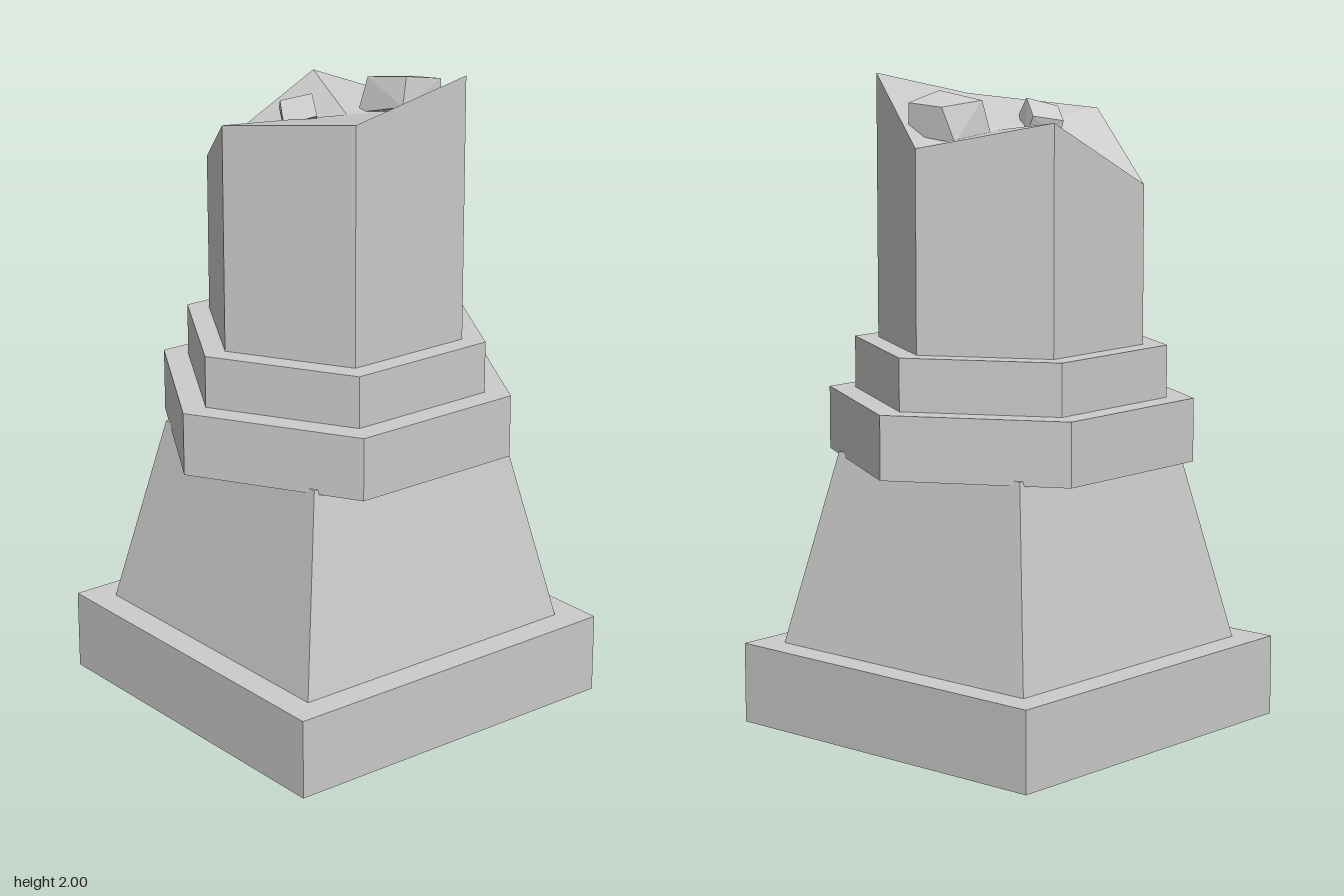
import * as THREE from 'three';
import { ConvexGeometry } from 'three/addons/geometries/ConvexGeometry.js';

const stone = new THREE.MeshStandardMaterial({ color: 0xcccccc, flatShading: true });

export function createModel() {
  const model = new THREE.Group();
  const add = (name, geometry, y = 0) => {
    const mesh = new THREE.Mesh(geometry, stone);
    mesh.name = name;
    mesh.position.y = y;
    model.add(mesh);
    return mesh;
  };

  // Square plinth and tapered pedestal
  add('plinth', new THREE.BoxGeometry(1.16, 0.25, 1.16), 0.125);
  const pedestal = new THREE.CylinderGeometry(0.37 * Math.SQRT2, 0.493 * Math.SQRT2, 0.6, 4);
  add('pedestal', pedestal.rotateY(Math.PI / 4), 0.55);

  // Stepped hexagonal collars
  add('lowerCollar', new THREE.CylinderGeometry(0.57, 0.57, 0.195, 6), 0.9325);
  add('upperCollar', new THREE.CylinderGeometry(0.487, 0.487, 0.16, 6), 1.11);

  // Hexagonal shaft with a broken, uneven top
  add('brokenShaft', shaftGeometry(0.413, 1.18, [1.88, 1.92, 2.0, 1.8, 1.88, 1.675]));

  // Loose rubble: four upper corners, then four lower corners
  add('largeRubble', rubble([
    [0, 1.915, -0.3], [0.11, 1.925, -0.325], [0.12, 1.955, -0.18], [-0.03, 1.93, -0.155],
    [-0.035, 1.81, -0.28], [0.12, 1.83, -0.315], [0.14, 1.87, -0.15], [-0.045, 1.82, -0.13],
  ]));
  add('smallRubble', rubble([
    [-0.12, 1.86, 0.112], [-0.065, 1.875, 0.035], [0.01, 1.925, 0.09], [-0.06, 1.9, 0.155],
    [-0.035, 1.81, 0.035], [0.06, 1.87, 0.11], [-0.01, 1.84, 0.18], [-0.1, 1.79, 0.11],
  ]));

  return model;
}

// Convex stone chunk spanning its corner points
function rubble(corners) {
  return new ConvexGeometry(corners.map((c) => new THREE.Vector3(...c)));
}

// Six-sided prism whose top corners have individual heights
function shaftGeometry(radius, bottom, heights) {
  const corner = (i, y) => {
    const a = (i * Math.PI) / 3;
    return new THREE.Vector3(radius * Math.sin(a), y, radius * Math.cos(a));
  };
  const low = heights.map((_, i) => corner(i, bottom));
  const top = heights.map((y, i) => corner(i, y));
  const hollow = new THREE.Vector3(0, 1.835, -0.05);
  const base = new THREE.Vector3(0, bottom, 0);
  const points = [];
  for (let i = 0; i < 6; i++) {
    const j = (i + 1) % 6;
    points.push(low[i], low[j], top[j], low[i], top[j], top[i], base, low[j], low[i]);
  }
  // Fracture surface: raised corner facet plus a fan around the hollow
  points.push(top[1], top[2], top[3]);
  const rim = [0, 1, 3, 4, 5];
  rim.forEach((k, n) => points.push(hollow, top[k], top[rim[(n + 1) % 5]]));
  const geometry = new THREE.BufferGeometry().setFromPoints(points);
  geometry.computeVertexNormals();
  return geometry;
}
